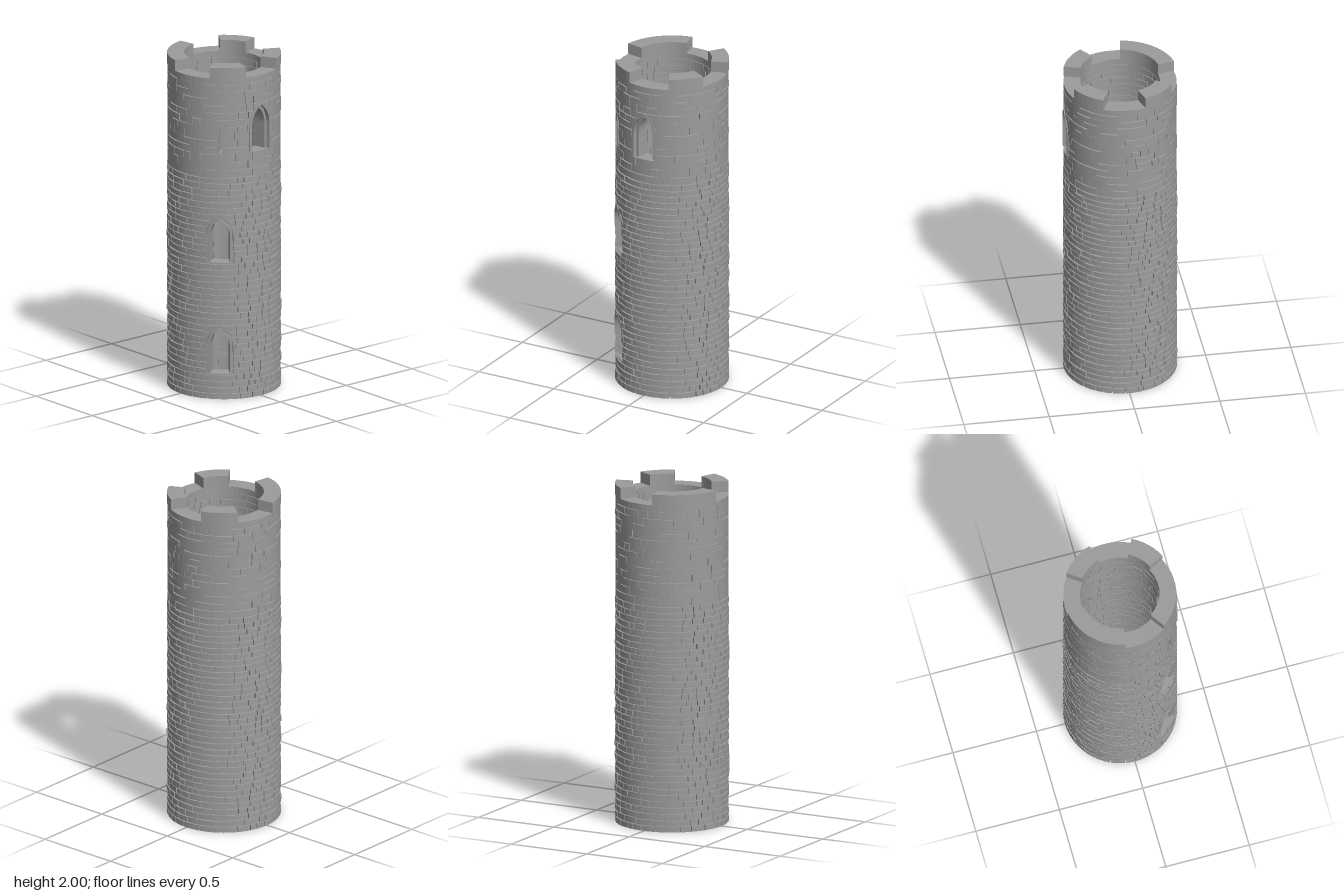
import * as THREE from 'three';

const TAU = Math.PI * 2, DEG = Math.PI / 180;
const R_IN = 0.23, R_OUT = 0.329, R_CORE = 0.317;

// Seeded random numbers for the irregular masonry
let seed = 7;
const rand = () => {
  seed = (seed * 16807) % 2147483647;
  return seed / 2147483647;
};

const material = new THREE.MeshStandardMaterial({ color: 0x9c9c9c, flatShading: true });

// Pointed openings: angle a (from +z towards +x), half width w, sill, spring and apex heights,
// width t of the rebate, foot of the hood
const openings = [
  { name: 'lowerWindow', a: 45 * DEG, w: 0.063, sill: 0.15, spring: 0.31, apex: 0.415, t: 0.017, foot: 0.28 },
  { name: 'middleWindow', a: 45 * DEG, w: 0.063, sill: 0.82, spring: 0.98, apex: 1.08, t: 0.017, foot: 0.95 },
  { name: 'upperWindow', a: 90 * DEG, w: 0.05, sill: 1.48, spring: 1.63, apex: 1.735, t: 0.018, foot: 1.48 },
  { name: 'arrowSlit', a: 46 * DEG, w: 0.009, sill: 1.48, spring: 1.62, apex: 1.645, t: 0.007, foot: 1.48 },
];

// Arch centre offset and radius, for an outline offset outwards by d
function arch(o, d) {
  const h = o.apex - o.spring, c = (h * h - o.w * o.w) / (2 * o.w), r = o.w + c + d;
  return { c, r, top: o.spring + Math.sqrt(r * r - c * c) };
}

function halfWidth(o, y, d) {
  const { c, r, top } = arch(o, d);
  if (y < o.sill || y >= top) return 0;
  return y < o.spring ? o.w + d : Math.sqrt(r * r - (y - o.spring) ** 2) - c;
}

// Parts of the arc a0..a1 that lie outside every opening at height y
function clip(a0, a1, y) {
  let arcs = [[a0, a1]];
  for (const o of openings) {
    const h = halfWidth(o, y, o.t * 1.1) / 0.33;
    if (!h) continue;
    for (const turn of [-TAU, 0, TAU]) {
      const l = o.a + turn - h, r = o.a + turn + h;
      arcs = arcs.flatMap(([s, e]) => (e <= l || s >= r ? [[s, e]] : [[s, Math.min(e, l)], [Math.max(s, r), e]]))
        .filter(([s, e]) => e - s > 0.004);
    }
  }
  return arcs;
}

// Curved stone between two angles, heights and radii
function block(out, a0, a1, y0, y1, r0, r1) {
  const n = Math.max(1, Math.ceil((a1 - a0) / 0.11));
  const p = (a, r, y) => [r * Math.sin(a), y, r * Math.cos(a)];
  const quad = (a, b, c, d) => out.push(...a, ...b, ...c, ...a, ...c, ...d);
  for (let i = 0; i < n; i++) {
    const s = a0 + ((a1 - a0) * i) / n, e = a0 + ((a1 - a0) * (i + 1)) / n;
    quad(p(s, r1, y0), p(e, r1, y0), p(e, r1, y1), p(s, r1, y1));
    quad(p(e, r0, y0), p(s, r0, y0), p(s, r0, y1), p(e, r0, y1));
    quad(p(s, r1, y1), p(e, r1, y1), p(e, r0, y1), p(s, r0, y1));
    quad(p(s, r0, y0), p(e, r0, y0), p(e, r1, y0), p(s, r1, y0));
  }
  quad(p(a1, r1, y0), p(a1, r0, y0), p(a1, r0, y1), p(a1, r1, y1));
  quad(p(a0, r0, y0), p(a0, r1, y0), p(a0, r1, y1), p(a0, r0, y1));
}

// Block cut in thin layers where it meets an opening
function cutBlock(out, a0, a1, y0, y1, r0, r1) {
  const layers = 5, step = (y1 - y0) / layers, cuts = [];
  for (let k = 0; k < layers; k++) cuts.push(clip(a0, a1, y0 + (k + 0.5) * step));
  if (cuts.every((c) => c.length === 1 && c[0][0] === a0 && c[0][1] === a1)) {
    block(out, a0, a1, y0, y1, r0, r1);
    return;
  }
  cuts.forEach((arcs, k) => arcs.forEach(([s, e]) => block(out, s, e, y0 + k * step, y0 + (k + 1) * step, r0, r1)));
}

// One ring of uneven stones; place(a0, a1) sets each of them
function course(count, place) {
  const start = rand() * TAU, widths = Array.from({ length: count }, () => 0.5 + rand());
  const sum = widths.reduce((s, w) => s + w, 0);
  let a = start;
  for (const w of widths) {
    const next = a + (w / sum) * TAU;
    place(a, next);
    a = next;
  }
}

function addMesh(group, name, positions) {
  const g = new THREE.BufferGeometry();
  g.setAttribute('position', new THREE.Float32BufferAttribute(positions, 3));
  g.computeVertexNormals();
  const mesh = new THREE.Mesh(g, material);
  mesh.name = name;
  group.add(mesh);
}

// Pointed band around an opening, bent to the curve of the wall
function surround(o, name, inner, outer, bottom, r0, r1) {
  const side = (d) => {
    const { c, r, top } = arch(o, d), pts = [[o.w + d, bottom]], end = Math.asin((top - o.spring) / r);
    for (let i = 0; i <= 10; i++) {
      const t = (end * i) / 10;
      pts.push([r * Math.cos(t) - c, o.spring + r * Math.sin(t)]);
    }
    return pts;
  };
  const whole = (d) => {
    const right = side(d);
    return [...right, ...right.slice(0, -1).reverse().map(([x, y]) => [-x, y])];
  };
  const outline = [...whole(outer), ...whole(inner).reverse()].map(([x, y]) => new THREE.Vector2(x, y));
  const g = new THREE.ExtrudeGeometry(new THREE.Shape(outline), { depth: r1 - r0, bevelEnabled: false });
  const pos = g.attributes.position;
  for (let i = 0; i < pos.count; i++) {
    const a = o.a + pos.getX(i) / 0.33, r = r0 + pos.getZ(i);
    pos.setXYZ(i, r * Math.sin(a), pos.getY(i), r * Math.cos(a));
  }
  g.computeVertexNormals();
  const mesh = new THREE.Mesh(g, material);
  mesh.name = name;
  return mesh;
}

export function createModel() {
  seed = 7;
  const tower = new THREE.Group();
  tower.name = 'tower';
  const core = [], lower = [], upper = [], lining = [], base = [], rim = [], battlements = [];

  // Heights of the stone courses, lined up with the sills
  const ys = [0];
  for (const [top, n] of [[0.15, 4], [0.82, 18], [1.34, 14], [1.48, 3], [1.9, 10], [1.935, 1]]) {
    const from = ys[ys.length - 1];
    for (let i = 1; i <= n; i++) ys.push(from + ((top - from) * i) / n);
  }

  for (let i = 0; i < ys.length - 1; i++) {
    const y0 = ys[i], y1 = ys[i + 1], isUpper = y0 > 1.339;
    if (i === 0) {
      // Foot of the wall: stones through its full depth
      block(core, 0, TAU, 0.004, y1, R_IN + 0.006, R_CORE);
      course(30, (a, b) => block(base, a + 0.008, b - 0.008, 0, y1 - 0.006, R_IN, R_OUT));
      continue;
    }
    if (i === ys.length - 2) {
      // Smooth rim under the battlements
      block(rim, 0, TAU, y0, y1, R_IN, 0.327);
      continue;
    }
    cutBlock(core, 0, TAU, y0, y1, R_IN + 0.006, R_CORE);
    if (isUpper) {
      // Tight masonry with only some joints open
      course(24, (a, b) => {
        const side = rand() < 0.4 ? 0.014 : 0, bed = rand() < 0.55 ? 0.007 : 0;
        cutBlock(upper, a, b - side, y0, y1 - bed, 0.31, 0.325 + rand() * 0.003);
      });
    } else {
      // Rough masonry with open joints
      course(28, (a, b) => {
        const bed = 0.005 + rand() * 0.004;
        cutBlock(lower, a, b - 0.012 - rand() * 0.008, y0, y1 - bed, 0.31, 0.3255 + rand() * 0.0055);
      });
    }
    // Inner face of the wall
    course(18, (a, b) => {
      const bed = rand() < 0.7 ? 0.005 : 0;
      cutBlock(lining, a, b - 0.018, y0, y1 - bed, R_IN + rand() * 0.003, 0.25);
    });
  }

  // Four merlons, one of them wide
  for (const [a, b] of [[35, 72], [116.5, 153], [197, 235], [279, 350.4]]) {
    block(battlements, a * DEG, b * DEG, 1.935, 2, R_IN, R_OUT);
  }

  addMesh(tower, 'wallCore', core);
  addMesh(tower, 'baseStones', base);
  addMesh(tower, 'lowerStones', lower);
  addMesh(tower, 'upperStones', upper);
  addMesh(tower, 'innerStones', lining);
  addMesh(tower, 'rim', rim);
  addMesh(tower, 'merlons', battlements);

  // Recessed reveals, framed by hoods almost flush with the wall
  for (const o of openings) {
    const part = new THREE.Group();
    part.name = o.name;
    part.add(surround(o, 'reveal', 0, o.t * 1.3, o.sill, R_IN, 0.309));
    part.add(surround(o, 'hood', o.t, o.t * 1.7, o.foot, 0.3, 0.3315));
    tower.add(part);
  }
  return tower;
}
